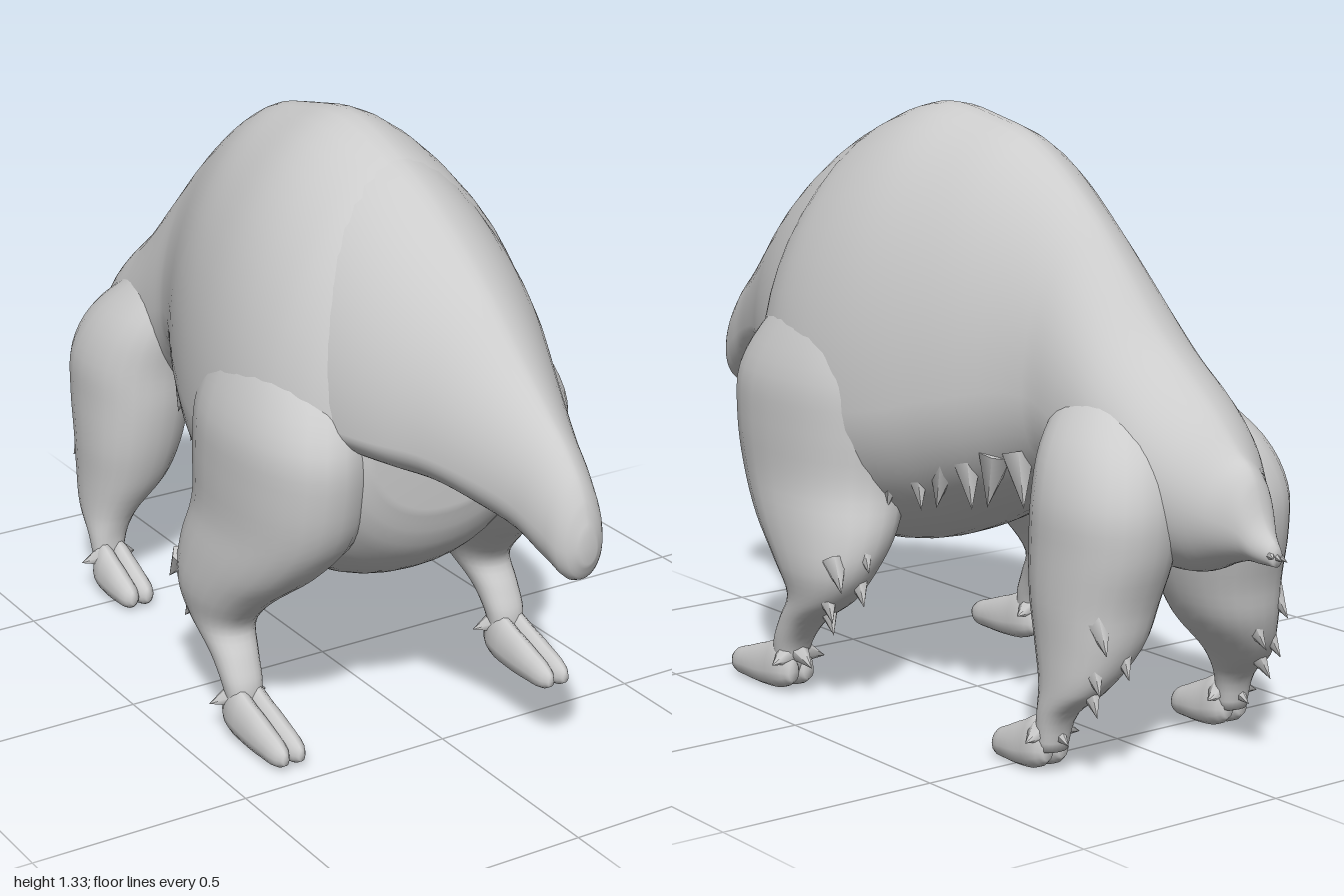
import * as THREE from 'three';

const mat = new THREE.MeshStandardMaterial({ color: 0xcccccc, side: THREE.DoubleSide });

// Skins smoothly interpolated cross-sections; rows start with the position along the axis.
function loft(rows, ringPoint, segs = 32, sub = 4) {
  const n = rows[0].length;
  const spline = new THREE.CubicInterpolant(rows.map(r => r[0]), rows.flat(), n, new Float32Array(n));
  const pos = [], idx = [];
  const count = (rows.length - 1) * sub;
  const centres = [];
  for (let i = 0; i <= count; i++) {
    const k = Math.min(Math.floor(i / sub), rows.length - 2);
    const t = THREE.MathUtils.lerp(rows[k][0], rows[k + 1][0], i / sub - k);
    const row = Array.from(spline.evaluate(t));
    const c = new THREE.Vector3();
    for (let j = 0; j < segs; j++) {
      const p = ringPoint(row, (j / segs) * Math.PI * 2);
      pos.push(...p);
      c.add(new THREE.Vector3(...p));
    }
    centres.push(c.divideScalar(segs));
  }
  for (let i = 0; i < count; i++) {
    for (let j = 0; j < segs; j++) {
      const a = i * segs + j, b = i * segs + ((j + 1) % segs);
      idx.push(a, b, b + segs, a, b + segs, a + segs);
    }
  }
  // end caps
  const first = pos.length / 3, last = count * segs;
  pos.push(...centres[0].toArray(), ...centres[count].toArray());
  for (let j = 0; j < segs; j++) {
    const k = (j + 1) % segs;
    idx.push(first, k, j, first + 1, last + j, last + k);
  }
  const g = new THREE.BufferGeometry();
  g.setAttribute('position', new THREE.Float32BufferAttribute(pos, 3));
  g.setIndex(idx);
  g.computeVertexNormals();
  return g;
}

const bend = (v, e) => Math.sign(v) * Math.pow(Math.abs(v), e);

// Section across z: [z, top, bottom, halfWidth, height of the widest point]
const bodyRing = ([z, top, bottom, w, mid], a) => {
  const s = Math.sin(a);
  return [bend(Math.cos(a), s > 0 ? 1.2 : 0.95) * w, mid + s * (s > 0 ? top - mid : mid - bottom), z];
};

// Section across y: [y, x, z, xRadius, zRadius]
const legRing = side => ([y, x, z, rx, rz], a) =>
  [side * x + bend(Math.sin(a), 0.9) * rx, y, z + bend(Math.cos(a), 0.9) * rz];

function part(name, geometry, parent) {
  const m = new THREE.Mesh(geometry, mat);
  m.name = name;
  parent.add(m);
  return m;
}

// Pointed fur tuft growing from a point in a direction
function tuft(parent, at, dir, length = 0.08, radius = 0.03) {
  const m = part('furTuft', new THREE.ConeGeometry(radius, length, 6), parent);
  const d = new THREE.Vector3(...dir).normalize();
  m.quaternion.setFromUnitVectors(new THREE.Vector3(0, 1, 0), d);
  m.position.set(...at).addScaledVector(d, length * 0.2);
}

// Tail, arched back and chest
const BODY = [
  [-0.99, 0.52, 0.48, 0.014, 0.5], [-0.95, 0.57, 0.48, 0.036, 0.52],
  [-0.92, 0.65, 0.48, 0.055, 0.55], [-0.87, 0.695, 0.465, 0.088, 0.57],
  [-0.8, 0.765, 0.435, 0.135, 0.6], [-0.72, 0.83, 0.43, 0.168, 0.63],
  [-0.62, 0.91, 0.45, 0.178, 0.67], [-0.5, 1.04, 0.5, 0.18, 0.72],
  [-0.4, 1.14, 0.53, 0.187, 0.76], [-0.2, 1.275, 0.455, 0.275, 0.73],
  [-0.05, 1.315, 0.385, 0.33, 0.69], [0.1, 1.335, 0.335, 0.36, 0.67],
  [0.25, 1.3, 0.325, 0.362, 0.67], [0.36, 1.24, 0.36, 0.335, 0.69],
  [0.44, 1.14, 0.42, 0.29, 0.71], [0.485, 1.0, 0.49, 0.24, 0.71], [0.505, 0.88, 0.56, 0.18, 0.7],
];
// Drooping neck and snout, flush with the back
const HEAD = [
  [0.2, 1.3, 0.75, 0.3, 0.82], [0.28, 1.285, 0.72, 0.3, 0.8],
  [0.38, 1.245, 0.69, 0.285, 0.78], [0.48, 1.187, 0.68, 0.258, 0.775],
  [0.56, 1.133, 0.678, 0.226, 0.772], [0.65, 1.065, 0.675, 0.18, 0.77],
  [0.75, 0.975, 0.655, 0.135, 0.75], [0.85, 0.89, 0.63, 0.094, 0.72],
  [0.93, 0.82, 0.59, 0.07, 0.68], [0.98, 0.75, 0.58, 0.048, 0.65], [1.0, 0.69, 0.62, 0.02, 0.65],
];
const FRONT_LEG = [
  [0.05, 0.35, 0.24, 0.035, 0.03], [0.12, 0.35, 0.23, 0.045, 0.042],
  [0.18, 0.347, 0.19, 0.052, 0.057], [0.24, 0.34, 0.13, 0.066, 0.09],
  [0.31, 0.328, 0.13, 0.09, 0.145], [0.4, 0.295, 0.175, 0.12, 0.21],
  [0.5, 0.265, 0.225, 0.138, 0.245], [0.62, 0.258, 0.24, 0.143, 0.265],
  [0.73, 0.252, 0.24, 0.14, 0.262], [0.85, 0.215, 0.215, 0.128, 0.215],
  [0.98, 0.16, 0.17, 0.1, 0.13],
];
const REAR_LEG = [
  [0.05, 0.25, -0.585, 0.035, 0.03], [0.13, 0.245, -0.6, 0.045, 0.04],
  [0.19, 0.227, -0.628, 0.062, 0.08], [0.28, 0.188, -0.63, 0.1, 0.123],
  [0.37, 0.17, -0.625, 0.12, 0.145], [0.48, 0.157, -0.632, 0.13, 0.168],
  [0.58, 0.15, -0.632, 0.13, 0.17], [0.68, 0.125, -0.605, 0.115, 0.155],
  [0.77, 0.08, -0.56, 0.085, 0.11], [0.83, 0.05, -0.53, 0.05, 0.07],
];
const TOE = [
  [0, 0.08, 0.03, 0.014, 0.05], [0.03, 0.12, 0.012, 0.028, 0.05],
  [0.1, 0.105, 0.002, 0.031, 0.04], [0.18, 0.078, 0.002, 0.028, 0.035],
  [0.23, 0.06, 0.006, 0.02, 0.03], [0.25, 0.045, 0.018, 0.008, 0.03],
];

function leg(name, rows, side, footX, footZ, footScale, tufts) {
  const g = new THREE.Group();
  g.name = name;
  part('limb', loft(rows, legRing(side), 24), g);
  // cloven foot
  for (const d of [-1, 1]) {
    const toe = part('toe', loft(TOE, bodyRing, 14, 3), g);
    toe.position.set(side * footX + d * 0.02, 0, footZ);
    toe.scale.z = footScale;
    tuft(g, [side * footX + d * 0.04, 0.085, footZ + 0.02], [d, -0.3, -0.3], 0.05, 0.025);
  }
  tuft(g, [side * footX, 0.09, footZ], [0, -0.5, -1], 0.07, 0.03);
  // ragged fur down the back of the limb
  for (const [x, y, z] of tufts) tuft(g, [side * x, y, z], [side * 0.2, -1, -0.7]);
  return g;
}

export function createModel() {
  const model = new THREE.Group();
  part('body', loft(BODY, bodyRing, 48), model);
  part('head', loft(HEAD, bodyRing, 48), model);

  for (const side of [1, -1]) {
    model.add(leg('frontLeg', FRONT_LEG, side, 0.35, 0.2, 1, [
      [0.32, 0.37, -0.01], [0.38, 0.33, 0.01], [0.32, 0.29, 0.01],
      [0.37, 0.25, 0.06], [0.34, 0.21, 0.1],
    ]));
    model.add(leg('rearLeg', REAR_LEG, side, 0.25, -0.6, 0.72, [
      [0.24, 0.33, -0.73], [0.18, 0.27, -0.73], [0.24, 0.24, -0.71], [0.23, 0.19, -0.69],
    ]));
    // fringe hanging along the belly edge
    for (let i = 0; i < 6; i++) {
      const z = -0.03 - i * 0.065;
      const x = 0.255 - i * 0.02;
      tuft(model, [side * x, 0.54 + i * 0.01, z], [side * 0.1, -1, i % 2 ? -0.3 : 0.15], 0.12, 0.04);
    }
  }

  // tail tip
  for (const d of [-1, 0, 1]) tuft(model, [d * 0.008, 0.505, -0.975], [d * 0.5, -0.4 + 0.3 * d, -1], 0.045, 0.018);
  return model;
}
